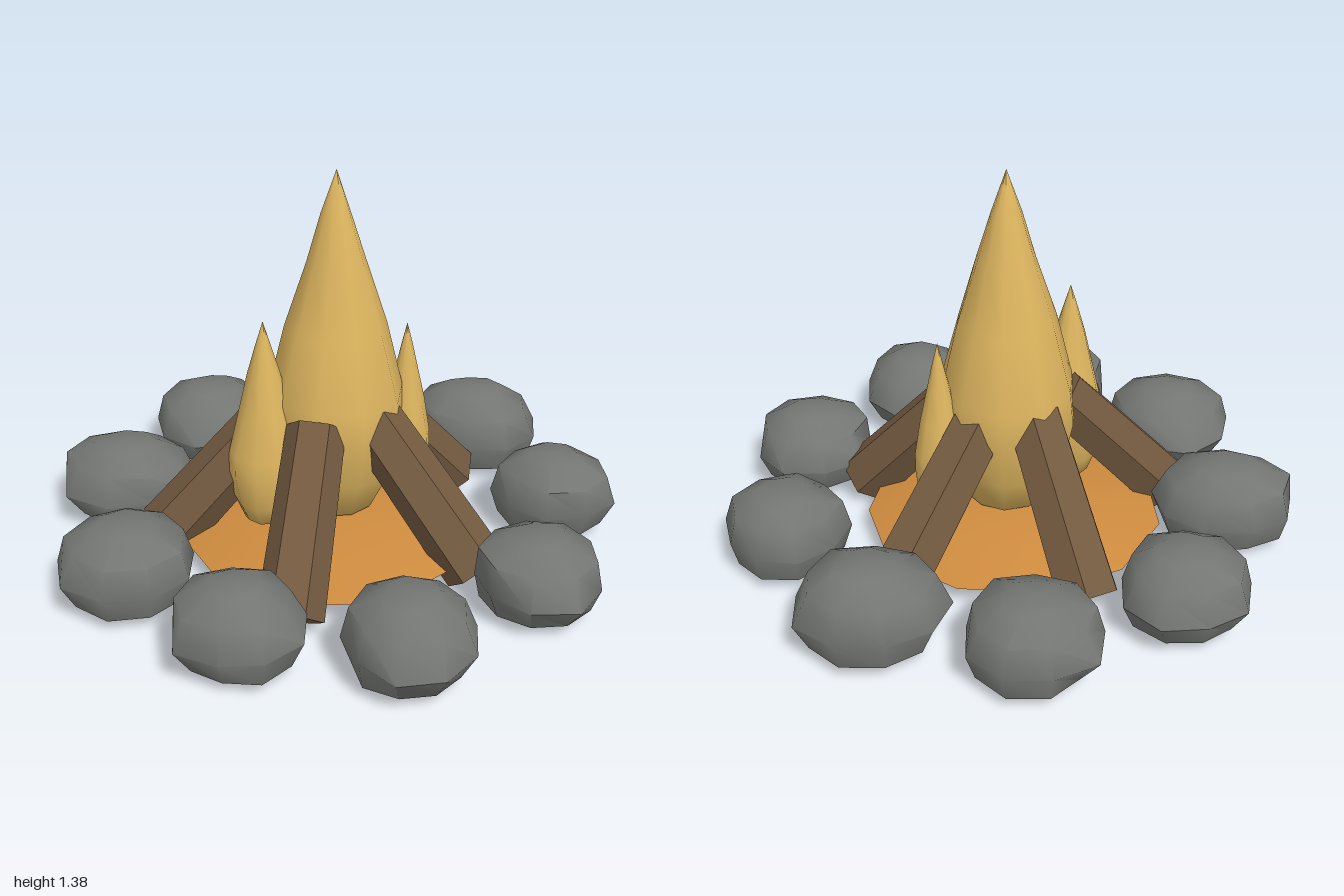
import * as THREE from 'three';
import { mergeVertices, toCreasedNormals } from 'three/addons/utils/BufferGeometryUtils.js';

const flat = (name, color) => new THREE.MeshStandardMaterial({ name, color });

// Small seeded generator, values from -1 to 1
function seeded(seed) {
  let s = seed * 7919 + 17;
  return () => {
    s = (s * 16807) % 2147483647;
    return (s / 2147483647) * 2 - 1;
  };
}

// Turned solid with slightly uneven vertices; profile is [radius, height] from the bottom up
function lump(profile, sides, jitter, seed, crease) {
  let geo = new THREE.LatheGeometry(profile.map(([r, y]) => new THREE.Vector2(r, y)), sides);
  geo.deleteAttribute('uv');
  geo.deleteAttribute('normal');
  geo = mergeVertices(geo, 1e-4);
  const rnd = seeded(seed);
  for (let i = 0; i < 5; i++) rnd();
  const p = geo.attributes.position;
  const base = profile[0][1];
  for (let i = 0; i < p.count; i++) {
    const k = 1 + rnd() * jitter;
    const lift = rnd() * jitter * 0.15;
    const onBase = p.getY(i) - base < 1e-3;
    const onAxis = Math.hypot(p.getX(i), p.getZ(i)) < 1e-3;
    p.setXYZ(i, p.getX(i) * k, p.getY(i) + (onBase || onAxis ? 0 : lift), p.getZ(i) * k);
  }
  return toCreasedNormals(geo, crease);
}

export function createModel() {
  const group = new THREE.Group();
  group.name = 'campfire';
  const stoneMat = flat('stone grey', 0x737673);
  const woodMat = flat('wood brown', 0x735a40);
  const flameMat = flat('flame yellow', 0xddb55f);
  const emberMat = flat('ember orange', 0xcc8a3e);

  const add = (name, geo, mat, x = 0, z = 0) => {
    const mesh = new THREE.Mesh(geo, mat);
    mesh.name = name;
    mesh.position.set(x, 0, z);
    group.add(mesh);
    return mesh;
  };

  // Low mound of embers
  const bed = [[0, 0.05], [0.46, 0.05], [0.525, 0.08], [0.34, 0.14], [0, 0.175]];
  add('emberBed', lump(bed, 11, 0.04, 3, 0.6), emberMat, 0.02, 0.01);

  // Flames: x, z, widest radius, tip height
  const flameProfile = [
    [0, 0], [0.6, 0.02], [0.86, 0.13], [0.99, 0.27], [0.97, 0.37],
    [0.7, 0.56], [0.42, 0.75], [0.21, 0.88], [0, 1],
  ];
  const flames = [
    [0.03, -0.01, 0.24, 1.38],
    [-0.178, 0.155, 0.128, 0.9],
    [0.25, -0.13, 0.092, 0.815],
  ];
  flames.forEach(([x, z, r, tip], i) => {
    const profile = flameProfile.map(([a, t]) => [a * r, 0.15 + t * (tip - 0.15)]);
    add('flame' + (i + 1), lump(profile, 10, 0.04, i + 11, 1.2), flameMat, x, z);
  });

  // Hexagonal logs leaning inwards: angle in degrees, foot distance
  const logs = [[88, 0.6], [18, 0.59], [-50, 0.57], [-119, 0.56], [159, 0.57]];
  const rise = 0.47, run = 0.42;
  logs.forEach(([deg, foot], i) => {
    const geo = new THREE.CylinderGeometry(0.1, 0.112, Math.hypot(rise, run), 6).toNonIndexed();
    geo.rotateY(0.1);
    geo.rotateZ(Math.atan2(run, rise));
    geo.translate(foot - run / 2, 0.072 + rise / 2, 0);
    geo.computeVertexNormals();
    add('log' + (i + 1), geo, woodMat).rotation.y = -THREE.MathUtils.degToRad(deg);
  });

  // Ring of stones: centre x, centre z, half width, half depth, top height
  const stones = [
    [-0.1, -0.77, 0.23, 0.22, 0.3], [0.425, -0.67, 0.25, 0.22, 0.325], [0.77, -0.265, 0.22, 0.215, 0.3],
    [0.775, 0.275, 0.225, 0.215, 0.3], [0.43, 0.705, 0.215, 0.225, 0.315], [-0.105, 0.77, 0.215, 0.21, 0.31],
    [-0.555, 0.52, 0.235, 0.23, 0.3], [-0.745, 0, 0.255, 0.22, 0.3], [-0.58, -0.5, 0.22, 0.22, 0.3],
  ];
  const stoneProfile = [[0, 0], [0.82, 0], [1, 0.36], [0.83, 0.76], [0.42, 0.96], [0, 1]];
  stones.forEach(([x, z, rx, rz, top], i) => {
    const profile = stoneProfile.map(([a, t]) => [a, t]);
    const geo = lump(profile, 9, 0.08, i + 31, 0.95);
    geo.scale(rx, top - 0.05, rz);
    geo.translate(0, 0.05, 0);
    add('stone' + (i + 1), geo, stoneMat, x, z);
  });

  return group;
}
